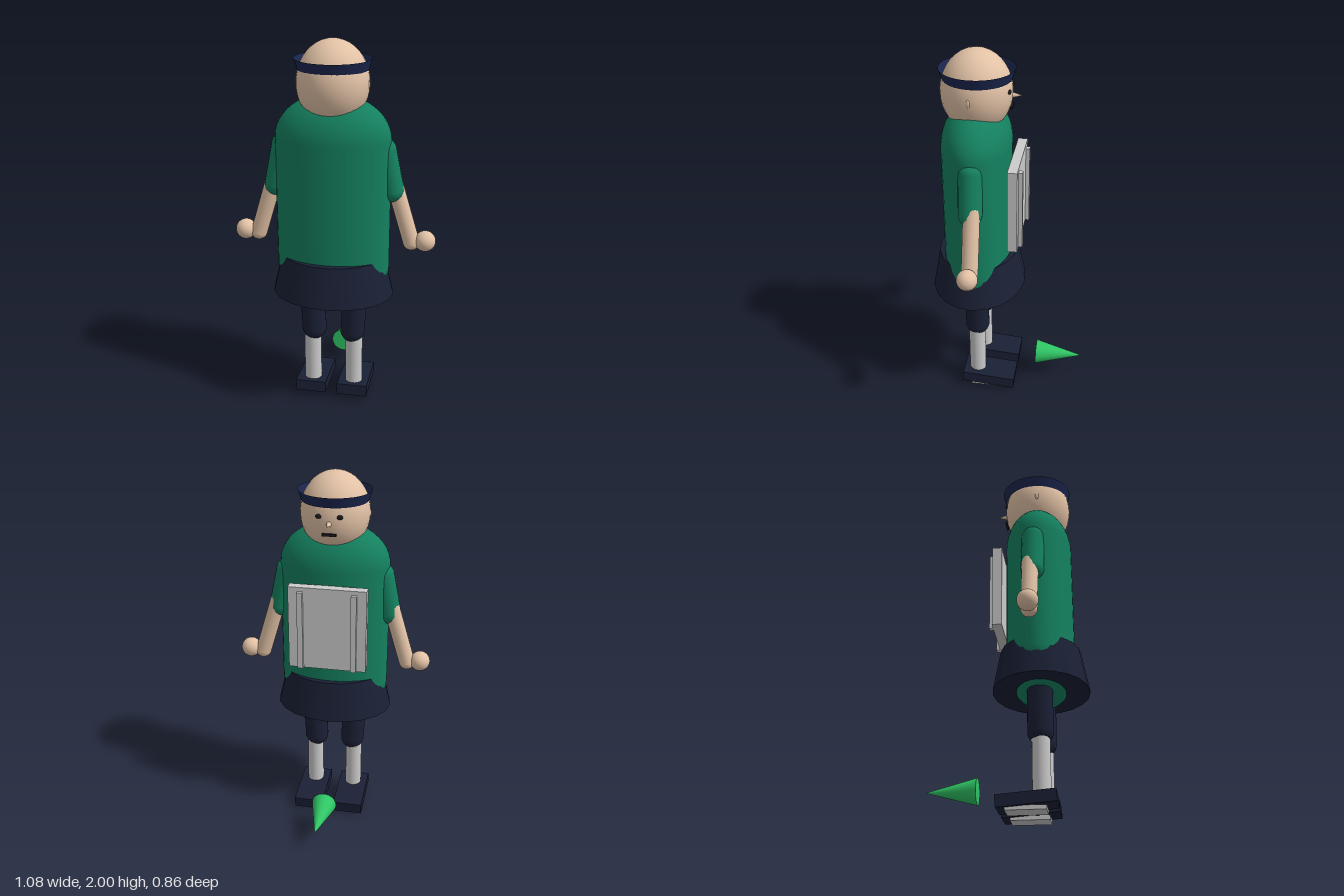
import * as THREE from 'three';

const mat = (color, side = THREE.FrontSide) => new THREE.MeshStandardMaterial({ color, side });

export function createModel() {
  const root = new THREE.Group();
  const skin = mat(0xe2c2a6), green = mat(0x14805f), navy = mat(0x1a2035);
  const grey = mat(0xcccccc), dark = mat(0x1a1a1e), bright = mat(0x2fc464);
  const bandBlue = mat(0x1c2750, THREE.DoubleSide);

  const add = (name, geo, material, x = 0, y = 0, z = 0) => {
    const m = new THREE.Mesh(geo, material);
    m.name = name;
    m.position.set(x, y, z);
    root.add(m);
    return m;
  };
  const box = (name, w, h, d, material, x, y, z) =>
    add(name, new THREE.BoxGeometry(w, h, d), material, x, y, z);
  const ball = (name, rx, ry, rz, material, x, y, z) =>
    add(name, new THREE.SphereGeometry(1, 32, 20).scale(rx, ry, rz), material, x, y, z);
  // Round-ended limb between two points
  const limb = (name, a, b, r, material) => {
    const p = new THREE.Vector3(...a), q = new THREE.Vector3(...b);
    const dir = q.clone().sub(p);
    const m = add(name, new THREE.CapsuleGeometry(r, dir.length(), 8, 20), material);
    m.position.copy(p).add(q).multiplyScalar(0.5);
    m.quaternion.setFromUnitVectors(new THREE.Vector3(0, 1, 0), dir.normalize());
    return m;
  };

  const cz = 0.173; // body axis

  // Torso: straight oval barrel with domed ends
  const profile = [];
  for (let i = 0; i <= 12; i++) {
    const t = (i / 12) * Math.PI / 2;
    profile.push(new THREE.Vector2(Math.sin(t), 0.81 - 0.23 * Math.cos(t)));
  }
  for (let i = 0; i <= 12; i++) {
    const t = (i / 12) * Math.PI / 2;
    profile.push(new THREE.Vector2(Math.cos(t), 1.5 + 0.23 * Math.sin(t)));
  }
  add('torso', new THREE.LatheGeometry(profile, 40).scale(0.3, 1, 0.184), green, 0, 0, cz);

  // Skirt: flared oval, closed at both ends
  add('skirt', new THREE.CylinderGeometry(0.84, 1, 0.22, 20).scale(0.327, 1, 0.258),
    navy, 0, 0.76, cz);

  // Head, headband and face (looking toward -z)
  ball('head', 0.185, 0.217, 0.185, skin, 0, 1.783, 0.17);
  add('headband', new THREE.CylinderGeometry(0.195, 0.178, 0.055, 40, 1, true),
    bandBlue, 0, 1.878, 0.165);
  const nose = add('nose', new THREE.ConeGeometry(0.016, 0.06, 12), skin, 0, 1.767, -0.036);
  nose.rotation.x = -Math.PI / 2;
  box('mouth', 0.075, 0.013, 0.012, dark, 0, 1.71, -0.011);

  for (const s of [1, -1]) {
    const side = s > 0 ? 'left' : 'right';
    ball(side + 'Eye', 0.017, 0.012, 0.009, dark, s * 0.055, 1.803, -0.005);
    ball(side + 'Ear', 0.006, 0.022, 0.01, skin, s * 0.182, 1.78, 0.18);

    // Arm
    limb(side + 'Sleeve', [s * 0.262, 1.45, 0.163], [s * 0.306, 1.235, 0.16], 0.062, green);
    limb(side + 'Forearm', [s * 0.316, 1.27, 0.15], [s * 0.412, 0.95, 0.15], 0.044, skin);
    ball(side + 'Hand', 0.055, 0.055, 0.055, skin, s * 0.485, 0.96, 0.15);

    // Leg
    limb(side + 'Thigh', [s * 0.122, 0.7, cz], [s * 0.107, 0.405, cz], 0.067, navy);
    add(side + 'Shin', new THREE.CylinderGeometry(0.047, 0.047, 0.31, 20), grey,
      s * 0.116, 0.225, 0.175);
    ball(side + 'Knee', 0.046, 0.03, 0.046, skin, s * 0.113, 0.365, 0.17);

    // Shoe, tipped toward the toe, over a flat sole plate
    const shoe = box(side + 'Shoe', 0.168, 0.062, 0.3, navy, s * 0.116, 0.053, 0.103);
    shoe.rotation.x = -0.08;
    box(side + 'Sole', 0.13, 0.022, 0.205, grey, s * 0.116, 0.011, 0.1);

    // Rail on the chest panel
    box(side + 'PanelRail', 0.03, 0.44, 0.022, grey, s * 0.144, 1.193, -0.076);
  }

  // Chest panel
  box('chestPanel', 0.42, 0.465, 0.052, grey, 0, 1.203, -0.04);

  // Pointer cone in front of the feet
  const cone = add('pointerCone', new THREE.ConeGeometry(0.07, 0.27, 32), bright, 0, 0.138, -0.295);
  cone.rotation.x = -Math.PI / 2;

  return root;
}
